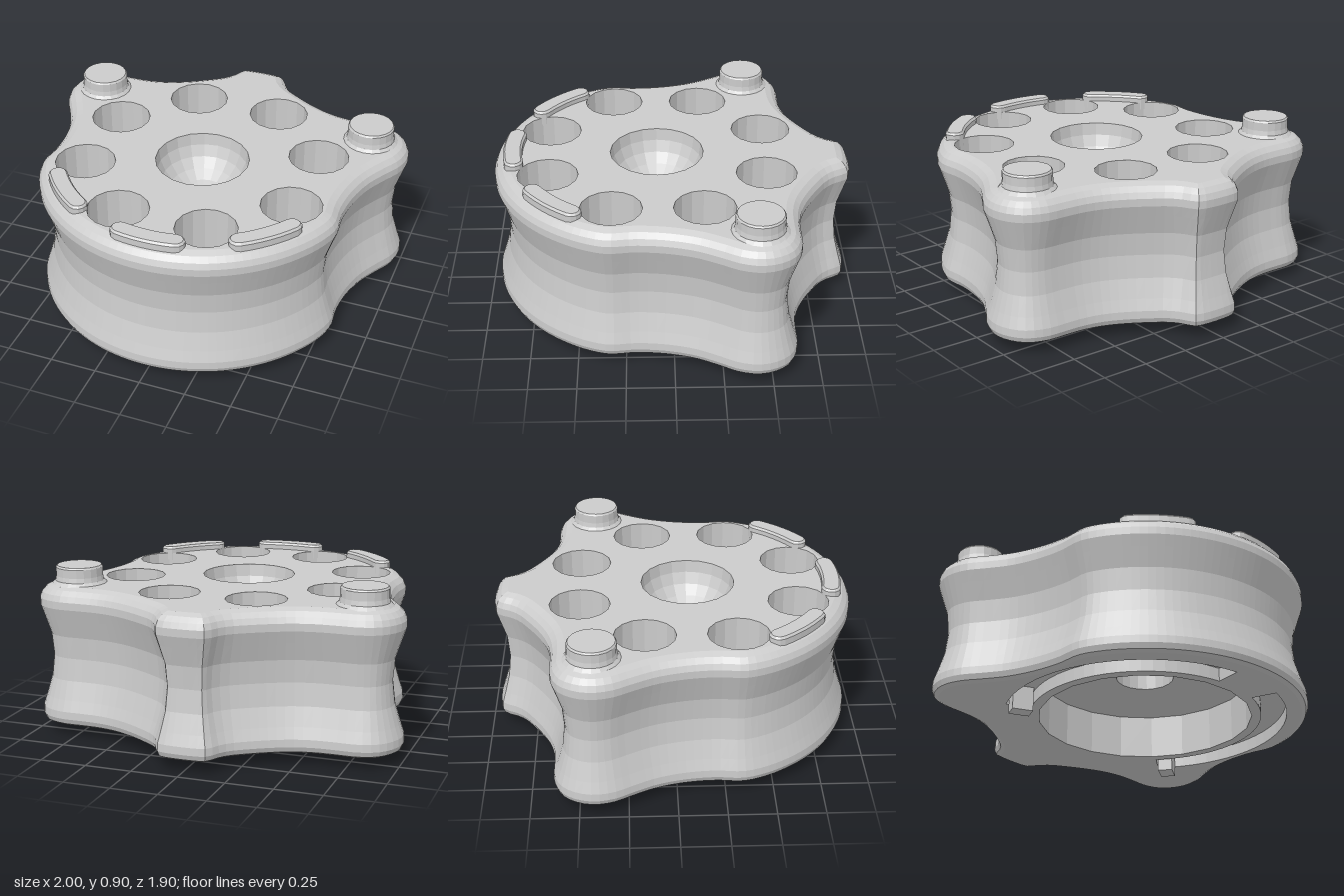
import * as THREE from 'three';

const CZ = 0.08;               // z of the main axis
const TOP = 0.81, BASE = 0.06; // body top and underside
const mat = new THREE.MeshStandardMaterial({ color: 0xcccccc, flatShading: true, side: THREE.DoubleSide });
const rad = THREE.MathUtils.degToRad;

// Point (x, z) at an angle from the front, around a centre
const polar = (r, a, cx = 0, cz = CZ) => new THREE.Vector2(cx + r * Math.sin(a), cz + r * Math.cos(a));

const circle = (r, n, cx = 0, cz = CZ) =>
  Array.from({ length: n }, (_, i) => polar(r, (i / n) * Math.PI * 2, cx, cz));

// Outline of a curved band, optionally with rounded ends
function band(r0, r1, a0, a1, n, round = false) {
  const pts = [], mid = (r0 + r1) / 2, half = (r1 - r0) / 2;
  const end = (a, sign) => {
    for (let k = 1; k < 6; k++) {
      const t = (k / 6) * Math.PI;
      pts.push(polar(mid + sign * half * Math.cos(t), a + sign * half * Math.sin(t) / mid));
    }
  };
  for (let i = 0; i <= n; i++) pts.push(polar(r1, a0 + (a1 - a0) * i / n));
  if (round) end(a1, 1);
  for (let i = n; i >= 0; i--) pts.push(polar(r0, a0 + (a1 - a0) * i / n));
  if (round) end(a0, -1);
  return pts;
}

// Move a closed outline inwards along its softened normals
function inset(pts, d, reach = 1) {
  const n = pts.length;
  return pts.map((p, i) => {
    const t = pts[(i + reach) % n].clone().sub(pts[(i - reach + n) % n]).normalize();
    return new THREE.Vector2(p.x - t.y * d, p.y + t.x * d);
  });
}

// Wall through a stack of [outline, y] rings
function loft(rings) {
  const n = rings[0][0].length, pos = [], idx = [];
  for (const [pts, y] of rings) for (const p of pts) pos.push(p.x, y, p.y);
  for (let j = 0; j < rings.length - 1; j++) for (let i = 0; i < n; i++) {
    const a = j * n + i, b = j * n + (i + 1) % n;
    idx.push(a, a + n, b, b, a + n, b + n);
  }
  const g = new THREE.BufferGeometry();
  g.setAttribute('position', new THREE.Float32BufferAttribute(pos, 3));
  g.setIndex(idx);
  g.computeVertexNormals();
  return g;
}

// Flat face at height y, facing up or down, with holes
function cap(pts, y, up, holes = []) {
  const flip = (list) => list.map((p) => new THREE.Vector2(p.x, up ? -p.y : p.y));
  const shape = new THREE.Shape(flip(pts));
  for (const h of holes) shape.holes.push(new THREE.Path(flip(h)));
  return new THREE.ShapeGeometry(shape).rotateX(up ? -Math.PI / 2 : Math.PI / 2).translate(0, y, 0);
}

function bodyOutline() {
  const half = [
    [0.09, -0.95], [0.135, -0.935], [0.17, -0.87], [0.21, -0.82], [0.28, -0.77], [0.4, -0.7],
    [0.5, -0.658], [0.6, -0.637], [0.7, -0.633], [0.82, -0.63], [0.92, -0.59], [0.98, -0.51],
    [1, -0.42], [0.98, -0.32], [0.925, -0.22], [0.865, -0.1], [0.825, 0.05], [0.812, 0.2], [0.822, 0.34],
  ].map(([x, z]) => new THREE.Vector2(x, z));
  for (let a = 64; a > 0; a -= 8) half.push(polar(0.87, rad(a)));
  const all = [...half, polar(0.87, 0), ...half.slice().reverse().map((p) => new THREE.Vector2(-p.x, p.y))];
  const curve = new THREE.CatmullRomCurve3(all.map((p) => new THREE.Vector3(p.x, 0, p.y)), true);
  return curve.getSpacedPoints(144).slice(0, -1).map((p) => new THREE.Vector2(p.x, p.z));
}

export function createModel() {
  const model = new THREE.Group();
  const add = (name, geometry, parent = model) => {
    const m = new THREE.Mesh(geometry, mat);
    m.name = name;
    parent.add(m);
    return m;
  };
  const group = (name) => {
    const g = new THREE.Group();
    g.name = name;
    model.add(g);
    return g;
  };

  // Body: waisted side wall with rounded rims
  const outline = bodyOutline();
  const levels = [
    [BASE, 0.035], [0.072, 0.012], [0.1, 0], [0.14, 0.002], [0.2, 0.022], [0.3, 0.052], [0.42, 0.066],
    [0.54, 0.055], [0.64, 0.022], [0.7, 0.002], [0.74, 0.002], [0.77, 0.015], [0.795, 0.04], [TOP, 0.075],
  ].map(([y, d]) => [inset(outline, d, 2), y]);
  add('bodySide', loft(levels));

  // Ring of eight round pockets
  const pockets = group('pockets');
  const pocketRings = [];
  for (let i = 0; i < 8; i++) {
    const c = polar(0.62, rad(22.5 + 45 * i));
    const ring = circle(0.16, 16, c.x, c.y);
    pocketRings.push(ring);
    add('pocketWall', loft([[ring, 0.46], [ring, TOP]]), pockets);
    add('pocketFloor', cap(ring, 0.46, true), pockets);
  }
  add('bodyTop', cap(levels[levels.length - 1][0], TOP, true, [circle(0.25, 20), ...pocketRings]));

  // Underside with the wide bore and two curved grooves
  const grooves = group('grooves');
  const grooveRings = [1, -1].map((s) => band(0.62, 0.755, rad(13) * s, rad(124) * s, 20));
  for (const ring of grooveRings) {
    add('grooveWall', loft([[ring, BASE], [ring, 0.13]]), grooves);
    add('grooveFloor', cap(ring, 0.13, false), grooves);
  }
  add('bodyUnderside', cap(levels[0][0], BASE, false, [circle(0.57, 20), ...grooveRings]));

  // Central bowl, through hole and stepped bore
  const bore = [[0.57, BASE], [0.57, 0.3], [0.155, 0.3], [0.155, 0.5], [0.06, 0.5]];
  for (let i = 0; i <= 5; i++) {
    const t = rad(14 + (76 * i) / 5);
    bore.push([0.25 * Math.sin(t), TOP - 0.25 * Math.cos(t)]);
  }
  add('centralBore', new THREE.LatheGeometry(bore.map(([r, y]) => new THREE.Vector2(r, y)), 20)).position.z = CZ;

  // Three curved raised tabs along the front rim
  const tabs = group('rimTabs');
  for (const a of [-45, 0, 45]) {
    const low = band(0.72, 0.82, rad(a - 11), rad(a + 11), 6, true);
    const high = band(0.73, 0.81, rad(a - 11), rad(a + 11), 6, true);
    add('tabSide', loft([[high, 0.847], [low, 0.835], [low, 0.77]]), tabs);
    add('tabTop', cap(high, 0.847, true), tabs);
  }

  // Mirrored knobs on the shoulders and stop pegs below
  const knob = [[0.16, 0.77], [0.15, 0.805], [0.13, 0.825], [0.125, 0.85], [0.125, 0.895], [0.118, 0.905], [0, 0.905]]
    .map(([r, y]) => new THREE.Vector2(r, y));
  for (const s of [1, -1]) {
    add('knob', new THREE.LatheGeometry(knob, 20)).position.set(0.785 * s, 0, -0.42);
    const peg = add('stopPeg', new THREE.BoxGeometry(0.08, 0.13, 0.11));
    const p = polar(0.688, rad(119.5) * s);
    peg.position.set(p.x, 0.065, p.y);
    peg.rotation.y = rad(119.5) * s;
  }
  return model;
}
